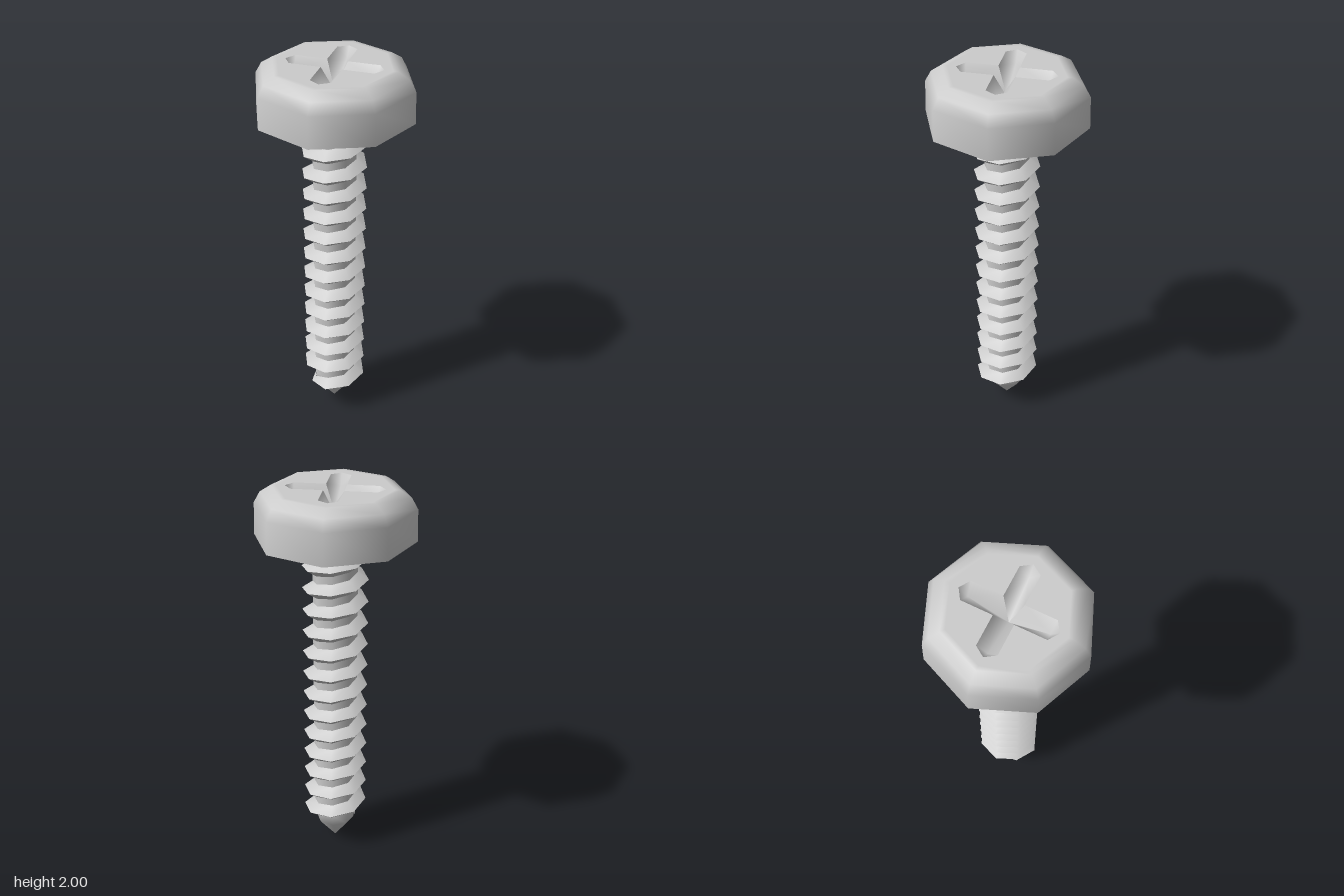
import * as THREE from 'three';
import { toCreasedNormals } from 'three/addons/utils/BufferGeometryUtils.js';

const SIDES = 8;
const TOP = 2;

export function createModel() {
  const group = new THREE.Group();
  const material = new THREE.MeshStandardMaterial({ color: 0xcccccc });
  const add = (name, geometry, parent = group) => {
    const mesh = new THREE.Mesh(geometry, material);
    mesh.name = name;
    parent.add(mesh);
    return mesh;
  };
  const lathe = (points) =>
    new THREE.LatheGeometry(points.map(([r, y]) => new THREE.Vector2(r, y)), SIDES);
  const indexed = (positions, index) => {
    const geometry = new THREE.BufferGeometry();
    geometry.setAttribute('position', new THREE.Float32BufferAttribute(positions, 3));
    geometry.setIndex(index);
    geometry.computeVertexNormals();
    return geometry;
  };

  // Octagonal head: rounded side and flat underside
  const head = new THREE.Group();
  head.name = 'head';
  group.add(head);
  add('headSide', lathe([[0.4, 1.75], [0.396, 1.91], [0.365, 1.965], [0.31, TOP], [0.285, TOP]]), head);
  add('headUnderside', lathe([[0.1, 1.75], [0.4, 1.75]]), head);

  // Head top with a cross-shaped opening
  const w = 0.051, arm = 0.208, tip = 0.242;
  const top = new THREE.Shape();
  for (let i = 0; i < SIDES; i++) {
    const a = (i / SIDES) * Math.PI * 2;
    top[i ? 'lineTo' : 'moveTo'](0.285 * Math.cos(a), 0.285 * Math.sin(a));
  }
  const cross = [];
  for (let i = 0; i < 4; i++) {
    for (const [x, y] of [[arm, -w], [tip, 0], [arm, w], [w, w]]) {
      cross.push(new THREE.Vector2(x, y).rotateAround(new THREE.Vector2(), (i * Math.PI) / 2));
    }
  }
  top.holes.push(new THREE.Path(cross));
  add('headTop', new THREE.ShapeGeometry(top).rotateX(-Math.PI / 2).translate(0, TOP, 0), head);

  // Drive recess: four grooves sinking towards the middle
  const groove = indexed(
    [
      w, TOP, -w, arm, TOP, -w, tip, TOP, 0, arm, TOP, w, w, TOP, w, // rim
      0, 1.87, 0, 0.2, 1.945, 0, // valley
    ],
    [0, 6, 1, 1, 6, 2, 0, 5, 6, 4, 3, 6, 3, 2, 6, 4, 6, 5],
  );
  for (let i = 0; i < 4; i++) add('recessArm', groove, head).rotation.y = (i * Math.PI) / 2;

  // Collar, shank and point
  add('shank', lathe([
    [0, 0.005], [0.1, 0.13], [0.113, 0.2], [0.113, 1.685], [0.125, 1.695], [0.15, 1.715], [0.153, 1.75],
  ]));

  // Helical thread, triangular in section, growing from nothing at the point
  const pitch = 0.1165, root = 0.11, crest = 0.167, half = 0.04;
  const first = -4, last = 100;
  const positions = [], index = [];
  for (let k = first; k <= last; k++) {
    const a = (k / SIDES) * Math.PI * 2;
    const y = 0.2 + (pitch * k) / SIDES;
    const grow = Math.min(1, (k - first) / 2);
    const section = [[root, -half * grow], [root + (crest - root) * grow, 0], [root, half * grow]];
    for (const [r, dy] of section) positions.push(r * Math.cos(a), y + dy, -r * Math.sin(a));
    if (k < last) {
      const n = (k - first) * 3;
      for (const i of [n, n + 1]) index.push(i, i + 3, i + 4, i, i + 4, i + 1);
    }
  }
  const end = (last - first) * 3;
  index.push(end, end + 2, end + 1);
  add('thread', toCreasedNormals(indexed(positions, index), 0.7));

  return group;
}
